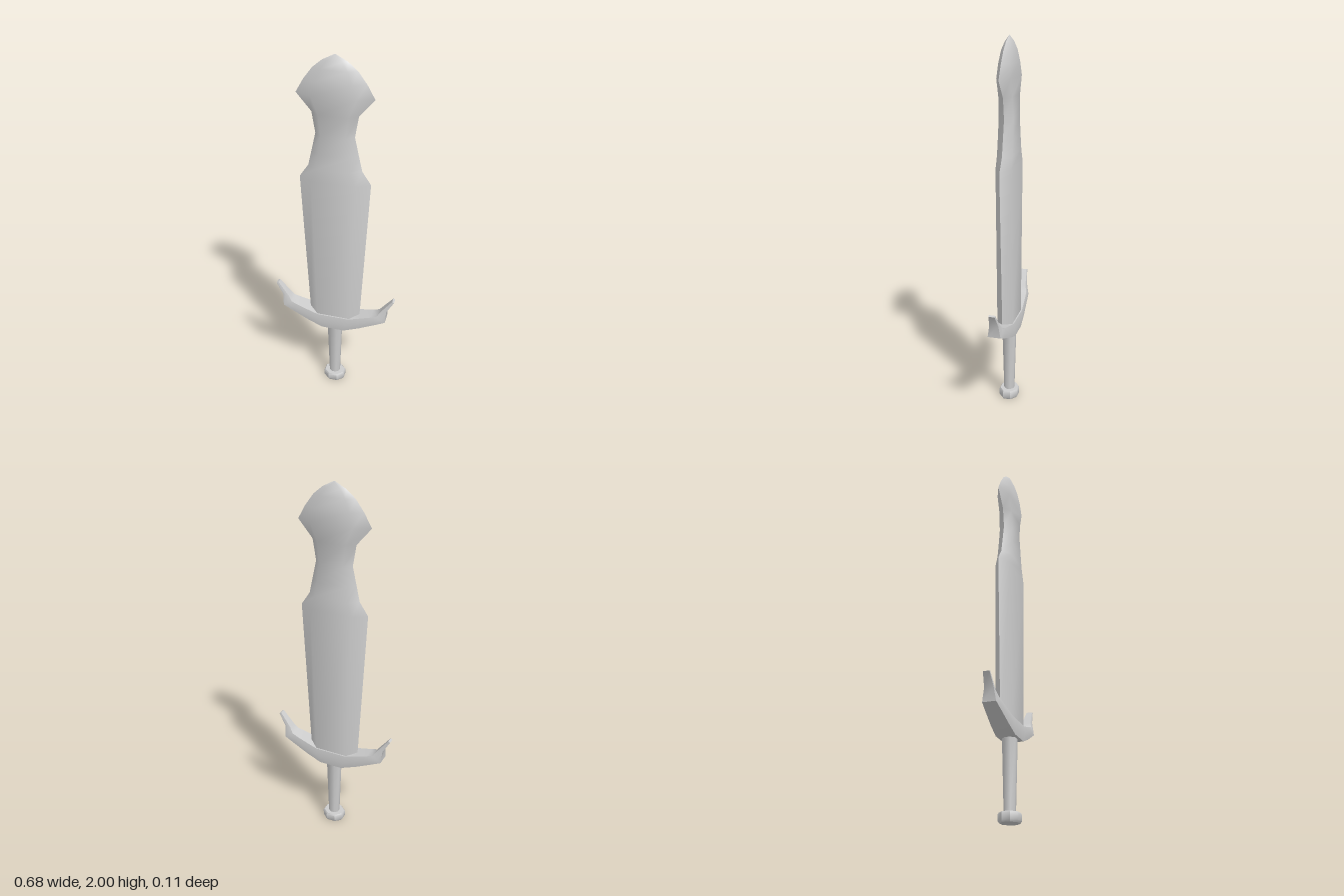
import * as THREE from 'three';
import { toCreasedNormals } from 'three/addons/utils/BufferGeometryUtils.js';

const steel = new THREE.MeshStandardMaterial({ color: 0xcccccc });
steel.name = 'steel';

// Skins a list of equal rings (counter-clockwise seen from the far end) and caps both ends.
function loft(rings, crease) {
  const n = rings[0].length, index = [];
  rings.forEach((ring, i) => {
    if (i === rings.length - 1) return;
    for (let j = 0; j < n; j++) {
      const a = i * n + j, b = i * n + (j + 1) % n;
      index.push(a, b, b + n, a, b + n, a + n);
    }
  });
  const last = (rings.length - 1) * n;
  for (let j = 1; j < n - 1; j++) {
    index.push(0, j + 1, j, last, last + j, last + j + 1);
  }
  const geometry = new THREE.BufferGeometry();
  geometry.setAttribute('position', new THREE.Float32BufferAttribute(rings.flat(2), 3));
  geometry.setIndex(index);
  return toCreasedNormals(geometry, crease);
}

function part(name, geometry) {
  const mesh = new THREE.Mesh(geometry, steel);
  mesh.name = name;
  return mesh;
}

// Eight-sided upright column from [y, half width, half depth] rows.
function column(rows) {
  return rows.map(([y, w, d]) => Array.from({ length: 8 }, (_, k) => {
    const a = (k + 0.5) * Math.PI / 4, s = 1 / Math.cos(Math.PI / 8);
    return [Math.cos(a) * w * s, y, -Math.sin(a) * d * s];
  }));
}

// Blade: flat faces with bevels running out to two sharp edges.
function bladeGeometry() {
  // y, half width to the edge, half width of the flat, half thickness
  const rows = [
    [0.46, 0.142, 0.092, 0.042],
    [1.35, 0.187, 0.115, 0.041],
    [1.42, 0.14, 0.09, 0.04],
    [1.5, 0.122, 0.077, 0.039],
    [1.6, 0.1, 0.063, 0.038],
    [1.71, 0.118, 0.075, 0.036],
    [1.8, 0.195, 0.112, 0.035],
    [1.87, 0.155, 0.092, 0.031],
    [1.93, 0.11, 0.066, 0.024],
    [1.97, 0.062, 0.037, 0.014],
    [2, 0.004, 0.002, 0.001],
  ];
  return loft(rows.map(([y, w, f, t]) => [
    [w, y, 0], [f, y, -t], [-f, y, -t], [-w, y, 0], [-f, y, t], [f, y, t],
  ]), 0.9);
}

// Crossguard: arms sweep outward and turn up into thin horns.
function guardGeometry() {
  // lower x, lower y, upper x, upper y, half depth
  const arm = [
    [0.065, 0.41, 0.09, 0.495, 0.055],
    [0.15, 0.442, 0.145, 0.51, 0.05],
    [0.24, 0.482, 0.215, 0.53, 0.043],
    [0.297, 0.508, 0.25, 0.542, 0.038],
    [0.302, 0.578, 0.27, 0.572, 0.026],
    [0.341, 0.645, 0.33, 0.65, 0.018],
  ];
  const mirrored = arm.map(([a, b, c, d, e]) => [-a, b, -c, d, e]).reverse();
  return loft([...mirrored, ...arm].map(([xb, yb, xt, yt, d]) => [
    [xb, yb, -d * 0.92],
    [(xb + xt) / 2, (yb + yt) / 2, -d],
    [xt, yt, -d * 0.88],
    [xt, yt, d * 0.88],
    [(xb + xt) / 2, (yb + yt) / 2, d],
    [xb, yb, d * 0.92],
  ]), 1.0);
}

export function createModel() {
  const model = new THREE.Group();
  model.name = 'sword';
  model.add(
    part('blade', bladeGeometry()),
    part('crossguard', guardGeometry()),
    part('grip', loft(column([
      [0.04, 0.029, 0.027], [0.42, 0.04, 0.036],
    ]), 0.9)),
    part('pommel', loft(column([
      [0, 0.054, 0.046], [0.01, 0.06, 0.052], [0.042, 0.06, 0.052], [0.05, 0.055, 0.047],
    ]), 0.7)),
  );
  return model;
}
